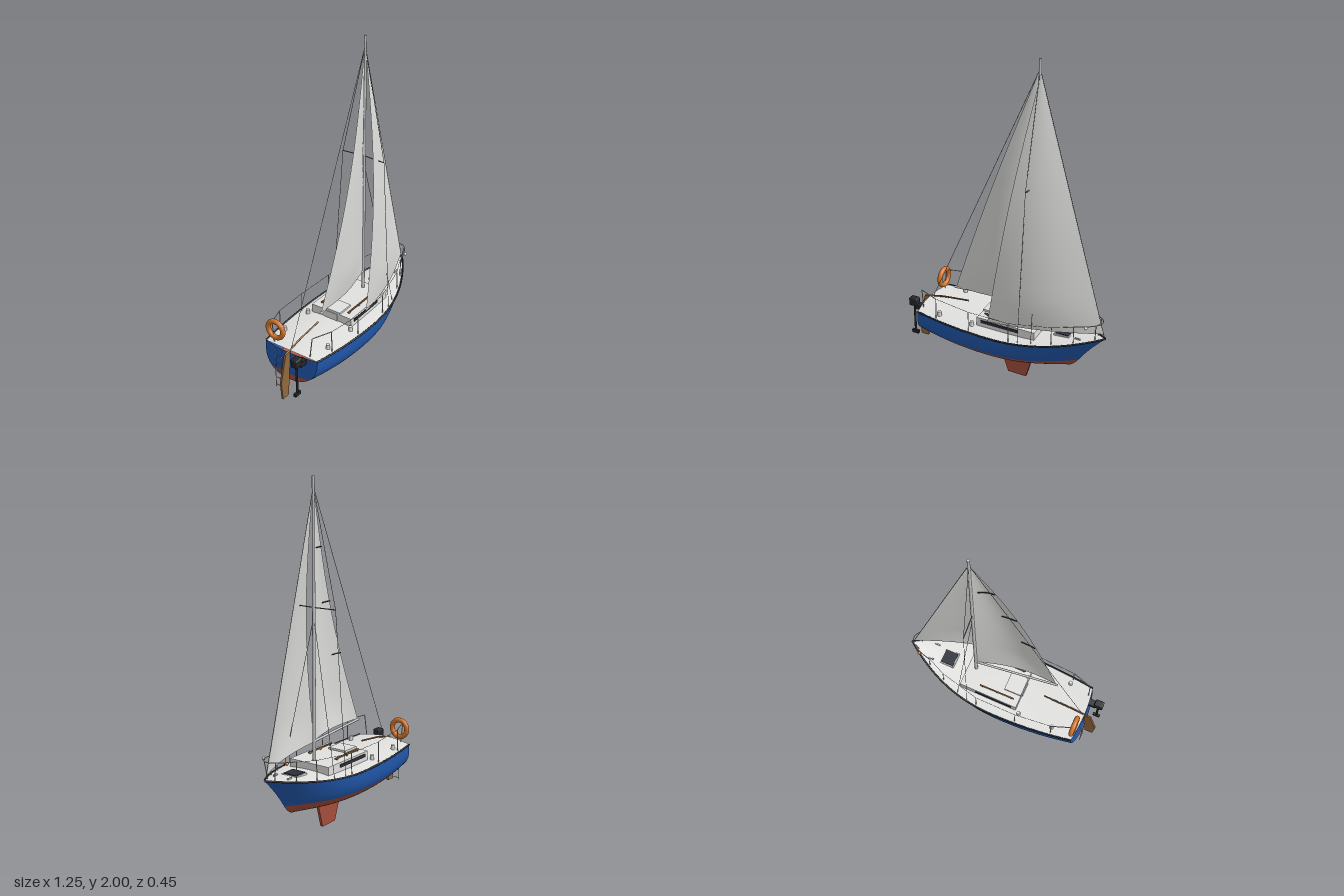
import * as THREE from 'three';
import { ParametricGeometry } from 'three/addons/geometries/ParametricGeometry.js';
import { RoundedBoxGeometry } from 'three/addons/geometries/RoundedBoxGeometry.js';

const V = (x, y, z) => new THREE.Vector3(x, y, z);
const { lerp } = THREE.MathUtils;

// Hull lines as functions of x; the bow gets fuller with depth d
const STERN = -0.522, BOW = 0.622, WATERLINE = 0.225;
const beam = (x, d = 0) => x > -0.05
  ? 0.22 * (1 - Math.min(1, (x + 0.05) / (BOW + 0.05)) ** (2.3 + 1.2 * d * d))
  : 0.22 - 0.038 * ((x + 0.05) / 0.47) ** 2;
const sheer = x => 0.348 + (x > 0 ? 0.07 * (x / 0.62) ** 2 : 0.014 * (x / 0.52) ** 2);
const keelLine = x => 0.145 + (x > 0.1 ? 0.025 * ((x - 0.1) / 0.52) ** 2 : 0.045 * ((x - 0.1) / 0.62) ** 2);
const stemX = d => BOW - 0.26 * d + 0.065 * d * d - 0.03 * d ** 12;
const deckY = (x, z) => sheer(x) + 0.09 * Math.max(0, beam(x) - z * z / Math.max(beam(x), 0.01));

// Point on the hull: u runs stern to bow, d runs sheer to keel, w runs across
function hullPoint(u, d, w, target) {
  const xs = lerp(STERN, BOW, u);
  const k = Math.max(0, 1 - Math.min(1, d) ** (3 - 1.6 * u ** 3)) ** 0.45 * w;
  const bulge = 0.018 * (1 - k * k) * (1 - u) ** 6;
  return target.set(
    lerp(STERN - 0.014 * d, stemX(d), u) - bulge,
    lerp(sheer(xs), keelLine(xs), d),
    beam(xs, d) * k);
}
const waterDepth = u => {
  const x = lerp(STERN, BOW, u);
  return (sheer(x) - WATERLINE) / (sheer(x) - keelLine(x));
};

export function createModel() {
  const model = new THREE.Group();
  const mat = (name, color, side = THREE.FrontSide) => {
    const m = new THREE.MeshStandardMaterial({ color, side });
    m.name = name;
    return m;
  };
  const blue = mat('hull blue', 0x2158ad, THREE.DoubleSide);
  const red = mat('bottom red', 0xa54e3b, THREE.DoubleSide);
  const white = mat('deck white', 0xe0e0de, THREE.DoubleSide);
  const cloth = mat('sail cloth', 0xdadad8, THREE.DoubleSide);
  const black = mat('black', 0x24262a);
  const navy = mat('dark glass', 0x2c2f3a);
  const metal = mat('metal', 0xcacccd);
  const wire = mat('rigging grey', 0x6a6d70);
  const wood = mat('wood', 0x93693f);
  const orange = mat('safety orange', 0xd8772a);

  const add = (name, geo, material, x = 0, y = 0, z = 0) => {
    const mesh = new THREE.Mesh(geo, material);
    mesh.name = name;
    mesh.position.set(x, y, z);
    model.add(mesh);
    return mesh;
  };
  const surface = (name, f, nu, nv, material) => {
    const geo = new ParametricGeometry(f, nu, nv);
    geo.computeVertexNormals();
    return add(name, geo, material);
  };
  const box = (name, w, h, d, material, x, y, z) => add(name, new THREE.BoxGeometry(w, h, d), material, x, y, z);
  // Round bar with straight segments between points
  const bars = (name, pts, r, material, sides = 6) => {
    for (let i = 1; i < pts.length; i++)
      add(name, new THREE.TubeGeometry(new THREE.LineCurve3(pts[i - 1], pts[i]), 1, r, sides), material);
  };
  const curveTube = (name, pts, r, material, n = 40) =>
    add(name, new THREE.TubeGeometry(new THREE.CatmullRomCurve3(pts), n, r, 8), material);
  const plate = (name, pts, depth, material) => {
    const geo = new THREE.ExtrudeGeometry(new THREE.Shape(pts.map(p => new THREE.Vector2(...p))), { depth, bevelEnabled: false });
    return add(name, geo.translate(0, 0, -depth / 2), material);
  };

  // Hull sides, bottom and rub rail
  for (const s of [1, -1]) {
    surface('topside', (u, v, t) => hullPoint(u, v * waterDepth(u), s, t), 48, 12, blue);
    surface('bottom', (u, v, t) => hullPoint(u, lerp(waterDepth(u), 1, 1 - (1 - v) ** 2), s, t), 48, 12, red);
    const rail = [];
    for (let i = 0; i <= 30; i++) rail.push(hullPoint(i / 30, 0, s, V()));
    curveTube('rubRail', rail, 0.0055, black, 60);
  }
  // Transom and deck
  surface('transom', (u, v, t) => hullPoint(0, v * waterDepth(0), 2 * u - 1, t), 16, 8, blue);
  surface('transomBottom', (u, v, t) => hullPoint(0, lerp(waterDepth(0), 1, v), 2 * u - 1, t), 16, 8, red);
  surface('deck', (u, v, t) => {
    hullPoint(u, 0, 2 * v - 1, t);
    t.y = deckY(lerp(STERN, BOW, u), t.z);
  }, 40, 16, white);

  // Fin keel and rudder
  plate('keel', [[-0.055, 0.16], [0, 0], [0.12, 0], [0.165, 0.16]], 0.016, red);
  plate('rudder', [[-0.53, 0.37], [-0.565, 0.085], [-0.615, 0.085], [-0.625, 0.2], [-0.58, 0.37]], 0.012, wood);
  bars('tiller', [V(-0.58, 0.365, 0), V(-0.45, 0.395, 0), V(-0.27, 0.415, 0)], 0.005, wood);

  // Cabin: tapered plan raised from the deck
  const plan = new THREE.Shape([[-0.14, -0.14], [0.235, -0.135], [0.235, 0.135], [-0.14, 0.14]].map(p => new THREE.Vector2(...p)));
  const cabin = new THREE.ExtrudeGeometry(plan, { depth: 0.075, bevelEnabled: false });
  add('cabin', cabin.rotateX(-Math.PI / 2), white, 0, 0.34, 0);
  box('slidingHatch', 0.11, 0.012, 0.12, white, -0.085, 0.421, 0);
  box('companionway', 0.006, 0.045, 0.09, white, -0.142, 0.39, 0);
  box('foredeckHatchFrame', 0.096, 0.02, 0.1, white, 0.367, 0.382, 0);
  box('foredeckHatch', 0.082, 0.008, 0.086, navy, 0.367, 0.393, 0);
  for (const s of [1, -1]) {
    const window = box('cabinWindow', 0.24, 0.018, 0.008, navy, 0.01, 0.395, s * 0.139);
    window.rotation.y = s * 0.013;
    box('handrail', 0.225, 0.008, 0.007, wood, 0.005, 0.426, s * 0.095);
    for (const x of [-0.09, 0.005, 0.1]) box('handrailFoot', 0.01, 0.01, 0.007, wood, x, 0.418, s * 0.095);
    // Winches and cleats
    for (const x of [-0.385, -0.165])
      add('winch', new THREE.CylinderGeometry(0.011, 0.013, 0.03, 16), white, x, deckY(x, 0.153) + 0.012, s * 0.153);
    box('cleat', 0.034, 0.008, 0.008, metal, 0.47, deckY(0.47, 0.05) + 0.006, s * 0.05);
  }

  // Mast, boom and standing rigging
  const head = V(0.185, 1.945, 0);
  add('mast', new THREE.CylinderGeometry(0.008, 0.01, 1.65, 12), metal, 0.185, 1.175, 0);
  bars('boom', [V(0.18, 0.53, 0), V(-0.33, 0.527, 0.06)], 0.007, metal, 10);
  bars('forestay', [head, V(0.612, 0.425, 0)], 0.0016, wire);
  bars('backstay', [head, V(-0.525, 0.37, 0)], 0.0014, wire);
  for (const s of [1, -1]) {
    const tip = V(0.175, 1.29, s * 0.14);
    bars('spreader', [V(0.185, 1.29, 0), tip], 0.003, wire);
    bars('upperShroud', [head, tip, V(0.16, 0.36, s * 0.2)], 0.0014, wire);
    bars('lowerShroud', [V(0.185, 1.24, 0), V(0.235, 0.36, s * 0.178)], 0.0014, wire);
  }

  // Sails: u runs luff to leech, v runs foot to head; the belly fills quickly above the foot
  const sail = (tack, clew, top, leechBow, belly) => (u, v, t) => {
    const luff = tack.clone().lerp(top, v);
    t.copy(clew).lerp(top, v);
    t.z += leechBow * Math.sin(Math.PI * v);
    t.lerp(luff, 1 - u);
    t.z += belly * Math.sin(Math.PI * u) * (0.6 + 0.4 * Math.sin(Math.PI / 2 * Math.min(1, v / 0.15))) * (1 - v);
    return t;
  };
  const main = sail(V(0.176, 0.535, 0), V(-0.32, 0.532, 0.06), V(0.178, 1.93, 0), 0.042, 0.05);
  const jib = sail(V(0.608, 0.445, 0), V(-0.045, 0.432, 0.178), V(0.19, 1.92, 0), 0.05, 0.05);
  surface('mainsail', main, 24, 40, cloth);
  surface('jib', jib, 24, 40, cloth);
  for (const v of [0.31, 0.54, 0.77]) {
    const inner = 1 - 0.09 / (0.5 * (1 - v));
    const pts = [0, 0.25, 0.5, 0.75, 1].map(k => main(lerp(inner, 0.99, k), v, V()).add(V(0, 0, -0.005)));
    bars('batten', pts, 0.0032, black);
  }

  // Guard rails, stanchions and lifelines
  const railHeight = x => 0.472 + (x > 0 ? 0.12 * x * x : 0.11 * x * x);
  const railPoint = (x, s) => V(x, railHeight(x), s * (beam(x) - 0.018));
  const foot = (x, s) => V(x, sheer(x), s * (beam(x) - 0.015));
  for (const s of [1, -1]) {
    for (const x of [-0.16, 0.1, 0.345]) bars('stanchion', [foot(x, s), railPoint(x, s)], 0.0027, metal);
    bars('lifeline', [-0.39, -0.16, 0.1, 0.345, 0.46].map(x => railPoint(x, s)), 0.0012, wire);
    bars('pushpit', [foot(-0.39, s), railPoint(-0.39, s), V(-0.512, 0.495, s * 0.14),
      V(-0.515, 0.365, s * 0.125)], 0.0029, metal);
    bars('pulpitLeg', [foot(0.46, s), V(0.46, 0.5, s * 0.09)], 0.0027, metal);
    bars('pulpitFrontLeg', [V(0.565, 0.41, s * 0.025), V(0.575, 0.515, s * 0.04)], 0.0027, metal);
    add('navigationLight', new THREE.SphereGeometry(0.0095, 12, 8), s > 0 ? white : orange, 0.53, 0.505, s * 0.08);
  }
  curveTube('pulpitRail', [V(0.46, 0.5, 0.09), V(0.53, 0.51, 0.07), V(0.585, 0.516, 0.035), V(0.6, 0.517, 0),
    V(0.585, 0.516, -0.035), V(0.53, 0.51, -0.07), V(0.46, 0.5, -0.09)], 0.0029, metal);

  // Lifebuoy on the stern rail
  add('lifebuoy', new THREE.TorusGeometry(0.052, 0.015, 12, 36), orange, -0.513, 0.455, -0.116).rotation.y = Math.PI / 2;

  // Outboard motor
  box('motorBracket', 0.05, 0.03, 0.04, black, -0.555, 0.345, 0.095);
  add('motorHead', new RoundedBoxGeometry(0.056, 0.052, 0.044, 3, 0.008), black, -0.598, 0.37, 0.095);
  add('motorLeg', new THREE.CylinderGeometry(0.007, 0.007, 0.2, 10), black, -0.598, 0.25, 0.095);
  box('motorGearcase', 0.046, 0.022, 0.016, black, -0.598, 0.155, 0.095);

  // Boarding ladder on the transom
  for (const z of [-0.085, -0.042])
    bars('ladderRail', [V(-0.535, 0.37, z), V(-0.56, 0.355, z), V(-0.56, 0.105, z)], 0.0024, metal);
  for (let i = 0; i < 5; i++)
    bars('ladderRung', [V(-0.56, 0.12 + i * 0.05, -0.085), V(-0.56, 0.12 + i * 0.05, -0.042)], 0.0024, metal);

  return model;
}
